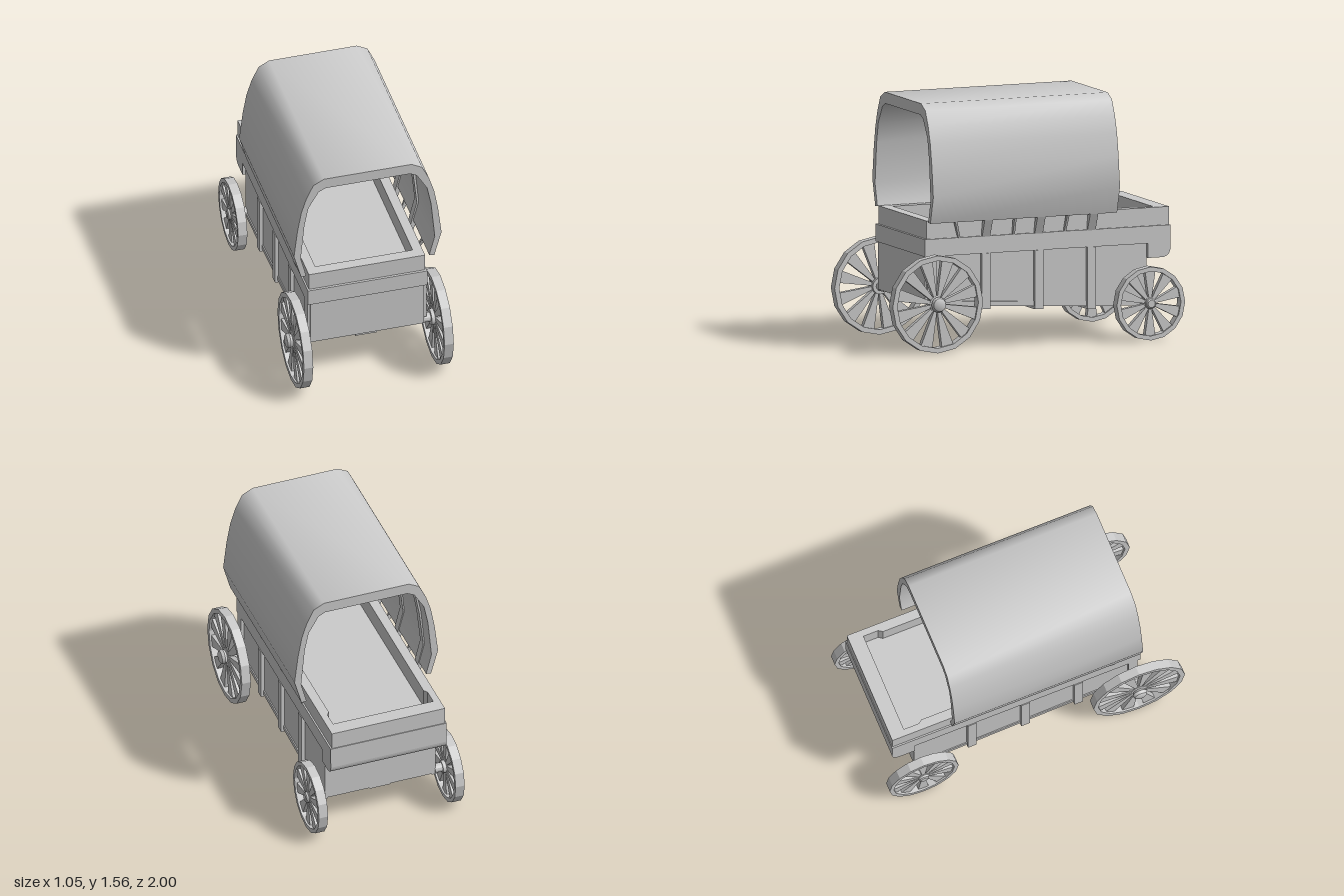
import * as THREE from 'three';
import { toCreasedNormals } from 'three/addons/utils/BufferGeometryUtils.js';

const mat = new THREE.MeshStandardMaterial({ color: 0xcccccc });
const flat = new THREE.MeshStandardMaterial({ color: 0xcccccc, flatShading: true });

const shapeOf = (pts) => new THREE.Shape(pts.map(([x, y]) => new THREE.Vector2(x, y)));
const extrude = (shape, depth) =>
  new THREE.ExtrudeGeometry(shape, { depth, bevelEnabled: false, curveSegments: 8 });

export function createModel() {
  const wagon = new THREE.Group();
  wagon.name = 'coveredWagon';

  const add = (name, geo, parent = wagon, m = flat) => {
    const mesh = new THREE.Mesh(geo, m);
    mesh.name = name;
    parent.add(mesh);
    return mesh;
  };
  const box = (name, w, h, d, x, y, z) =>
    add(name, new THREE.BoxGeometry(w, h, d)).position.set(x, y, z);
  // Side profile given as (z, y), extruded across x and centred
  const across = (shape, width) => extrude(shape, width).rotateY(-Math.PI / 2).translate(width / 2, 0, 0);

  // Wagon bed with sloping underside, and the floor inside the boards
  const bottomAt = (z) => 0.256 + 0.056 * z;
  add('bed', across(shapeOf([[0.728, bottomAt(0.728)], [0.728, 0.6], [-0.785, 0.6], [-0.785, bottomAt(-0.785)]]), 0.74));
  box('floor', 0.69, 0.1, 1.51, 0, 0.65, -0.095);

  // Board rings around the bed: a wide rail and a slightly inset upper course
  const boardRing = (name, x, z0, z1, y0, y1) => {
    const ring = shapeOf([[-x, z0], [x, z0], [x, z1], [-x, z1]]);
    ring.holes.push(shapeOf([[-0.335, -0.84], [-0.335, -0.74], [-0.317, -0.715], [-0.317, 0.65],
      [0.317, 0.65], [0.317, -0.715], [0.335, -0.74], [0.335, -0.84]]));
    add(name, extrude(ring, y1 - y0).rotateX(Math.PI / 2).translate(0, y1, 0));
  };
  boardRing('rail', 0.388, -0.94, 0.738, 0.6, 0.71);
  boardRing('upperBoards', 0.378, -0.935, 0.722, 0.71, 0.825);

  // Overhanging rear box with rounded lower edge
  const overhang = new THREE.Shape();
  overhang.moveTo(-0.7, 0.6);
  overhang.lineTo(-0.94, 0.6);
  overhang.lineTo(-0.94, 0.565);
  overhang.quadraticCurveTo(-0.935, 0.51, -0.88, 0.508);
  overhang.lineTo(-0.785, 0.508);
  overhang.lineTo(-0.785, 0.6);
  add('rearOverhang', across(overhang, 0.775));

  // Side posts, cross beams, sills and the beam along the underside
  const postZ = [0.32, -0.04, -0.4];
  for (const z of postZ) {
    const low = bottomAt(z) - 0.026;
    for (const s of [-1, 1]) box('sidePost', 0.03, 0.6 - low, 0.058, s * 0.378, (0.6 + low) / 2, z);
    box('crossBeam', 0.77, 0.04, 0.058, 0, low + 0.02, z);
  }
  for (const s of [-1, 1]) {
    box('cornerPost', 0.03, 0.26, 0.06, s * 0.373, 0.47, 0.69);
    const sill = shapeOf([[0.7, 0.285], [0.7, 0.315], [-0.785, 0.235], [-0.785, 0.205]]);
    add('sill', across(sill, 0.03).translate(s * 0.362, 0, 0));
  }
  add('centreBeam', across(shapeOf([[0.7, 0.265], [0.7, 0.31], [-0.785, 0.24], [-0.785, 0.205]]), 0.14));

  // Arched profile, mirrored from its right half
  const arch = (outer, inner) => {
    const mirror = (h) => [...h, ...h.map(([x, y]) => [-x, y]).reverse()];
    return shapeOf([...mirror(outer), ...mirror(inner).reverse()]);
  };
  const cover = extrude(arch(
    [[0.433, 0.815], [0.48, 0.985], [0.457, 1.18], [0.432, 1.32], [0.399, 1.425], [0.354, 1.52], [0.285, 1.557]],
    [[0.4, 0.82], [0.436, 0.96], [0.412, 1.22], [0.386, 1.35], [0.32, 1.462], [0.275, 1.485]],
  ), 1.275).translate(0.005, 0, -0.553);
  add('canvasCover', toCreasedNormals(cover, 0.9), wagon, mat);

  // Hoops under the cover, with feet on the rail
  const hoopShape = arch(
    [[0.386, 0.705], [0.43, 0.815], [0.452, 0.965], [0.425, 1.2], [0.395, 1.38], [0.33, 1.475], [0.28, 1.5]],
    [[0.37, 0.705], [0.393, 0.82], [0.426, 0.955], [0.4, 1.2], [0.372, 1.36], [0.318, 1.445], [0.272, 1.468]]);
  for (const z of postZ) add('hoop', extrude(hoopShape, 0.055).translate(0.003, 0, z - 0.0275));

  // Thin struts between the hoops, the front pair leaning forward
  for (const [z, lean] of [[0.5, 0.35], [0.13, 0.05], [-0.22, -0.05]]) {
    for (const s of [-1, 1]) {
      const strut = shapeOf([[s * 0.37, 0], [s * 0.386, 0], [s * 0.433, 0.125], [s * 0.405, 0.125]]);
      add('strut', extrude(strut, 0.014).rotateX(lean)).position.set(0, 0.703, z - 0.007);
    }
  }

  // Spoked wheel with hub and axle stub, axis along x; s is the side it sits on
  const wheel = (name, r, rimW, spokes, hubR, hubOut, s, z) => {
    const g = new THREE.Group();
    g.name = name;
    const rim = new THREE.Shape().absarc(0, 0, r, 0, Math.PI * 2);
    rim.holes.push(new THREE.Path().absarc(0, 0, r - rimW, 0, Math.PI * 2));
    add('rim', extrude(rim, 0.06).translate(0, 0, -0.03).rotateY(Math.PI / 2), g);
    const tip = r - rimW + 0.004;
    const half = (tip * Math.PI / spokes) * 0.55;
    const spoke = extrude(shapeOf([[hubR * 0.7, -0.009], [tip, -half], [tip, half], [hubR * 0.7, 0.009]]), 0.035)
      .translate(0, 0, -0.0175).rotateY(Math.PI / 2);
    for (let i = 0; i < spokes; i++) {
      add('spoke', spoke, g).rotation.x = ((i + 0.5) / spokes) * Math.PI * 2;
    }
    // Hub with a rounded cap
    const hub = new THREE.LatheGeometry([[0, -0.04], [hubR, -0.04], [hubR, 0.02], [hubR * 0.75, 0.025],
      [hubR * 0.95, hubOut - 0.025], [hubR * 0.8, hubOut - 0.006], [hubR * 0.6, hubOut], [0, hubOut]]
      .map(([x, y]) => new THREE.Vector2(x, y)), 16).rotateZ(-Math.PI / 2);
    if (s < 0) hub.rotateY(Math.PI);
    add('hub', toCreasedNormals(hub, 0.6), g, mat);
    const stub = new THREE.CylinderGeometry(0.03, 0.03, 0.1, 12).rotateZ(Math.PI / 2);
    add('axleStub', stub.translate(-s * 0.04, 0, 0), g);
    g.position.set(s * 0.457, r, z);
    wagon.add(g);
  };
  for (const s of [-1, 1]) {
    wheel('frontWheel', 0.309, 0.032, 12, 0.052, 0.066, s, 0.691);
    wheel('rearWheel', 0.233, 0.028, 10, 0.04, 0.04, s, -0.764);
  }

  return wagon;
}
